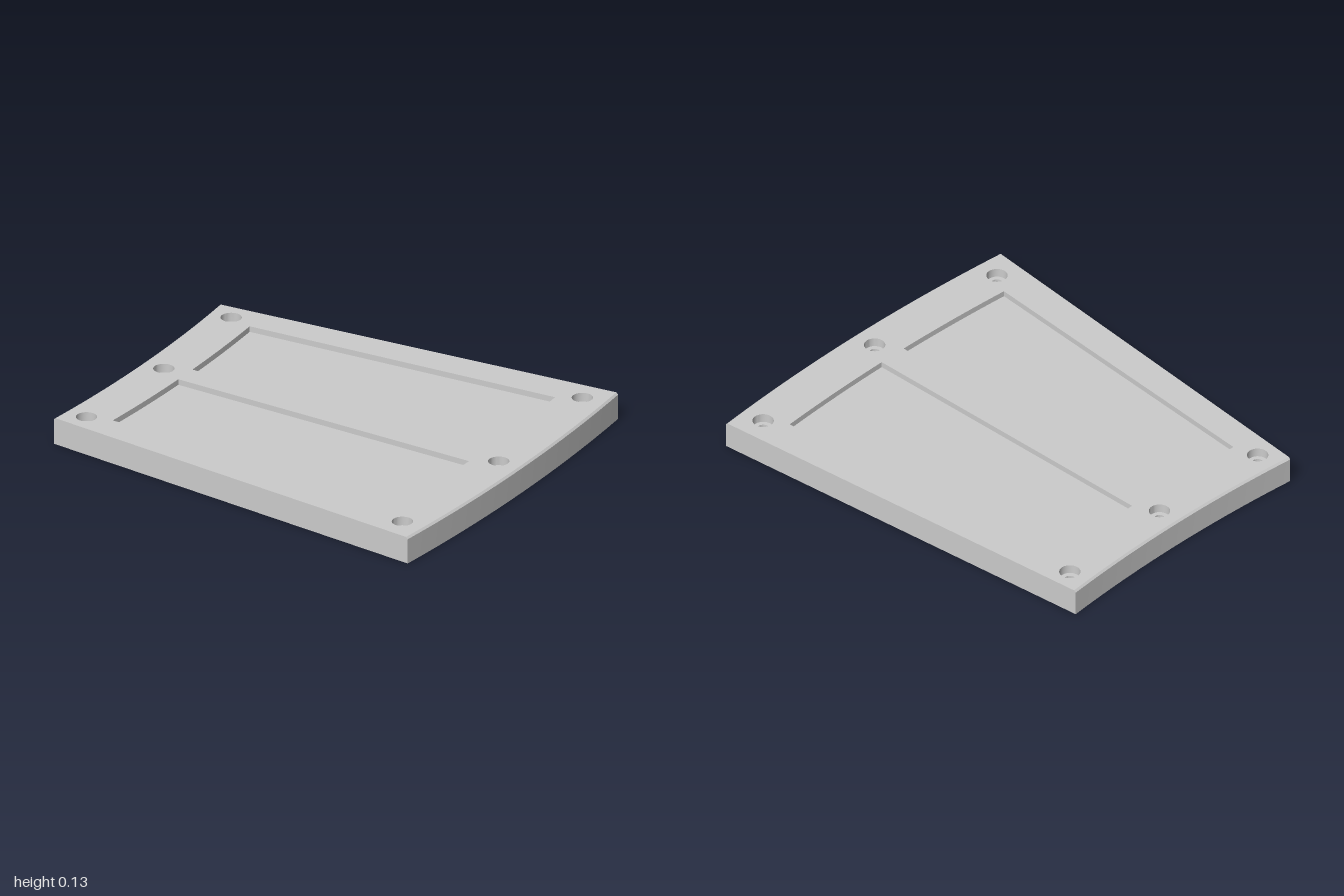
import * as THREE from 'three';
import { toCreasedNormals } from 'three/addons/utils/BufferGeometryUtils.js';

const TOP = 0.127, EDGE = 0.009, POCKET_Y = 0.1, STEP_Y = 0.085, HOLE_Y = 0.035;
const CENTRE_X = -8.13; // common centre of all the curved edges

// Counter-clockwise ring-sector outline in plan (plan y = -z)
function sector(r0, r1, a0, a1, n = 24) {
  const pts = [];
  const add = (r, a) => pts.push(new THREE.Vector2(CENTRE_X + r * Math.cos(a), r * Math.sin(a)));
  for (let i = 0; i <= n; i++) add(r1, a0 + (a1 - a0) * i / n);
  for (let i = 0; i <= n; i++) add(r0, a1 + (a0 - a1) * i / n);
  return pts;
}

function circle(x, y, r, n = 32) {
  return Array.from({ length: n }, (_, i) => {
    const a = i / n * Math.PI * 2;
    return new THREE.Vector2(x + r * Math.cos(a), y + r * Math.sin(a));
  });
}

// Skin joining successive [loop, height] sections
function skin(sections) {
  const pos = [], index = [], n = sections[0][0].length;
  for (const [loop, h] of sections) for (const p of loop) pos.push(p.x, h, -p.y);
  for (let s = 0; s < sections.length - 1; s++) {
    for (let i = 0; i < n; i++) {
      const a = s * n + i, b = s * n + (i + 1) % n;
      index.push(a, b, b + n, a, b + n, a + n);
    }
  }
  const g = new THREE.BufferGeometry();
  g.setAttribute('position', new THREE.Float32BufferAttribute(pos, 3));
  g.setIndex(index);
  return toCreasedNormals(g, 0.5);
}

// Flat face at a height, facing up or down
function cap(loop, h, holes = [], down = false) {
  const shape = new THREE.Shape(loop);
  shape.holes = holes.map(pts => new THREE.Path(pts));
  const g = new THREE.ShapeGeometry(shape).rotateX(-Math.PI / 2).translate(0, h, 0);
  if (down) {
    g.index.array.reverse();
    g.computeVertexNormals();
  }
  return g;
}

export function createModel() {
  const model = new THREE.Group();
  model.name = 'coverPlate';
  const material = new THREE.MeshStandardMaterial({ color: 0xcccccc });
  const add = (name, geometry, parent = model) => {
    const mesh = new THREE.Mesh(geometry, material);
    mesh.name = name;
    parent.add(mesh);
  };

  // Outline, with a small chamfer along the two curved edges
  const outer = sector(7.162, 9.13, -0.0947, 0.0947);
  const rim = sector(7.162 + EDGE, 9.13 - EDGE, -0.0947, 0.0947);

  // Two recessed panels, mirrored about the middle rib
  const pockets = [sector(7.385, 8.905, 0.0078, 0.076), sector(7.385, 8.905, -0.076, -0.0078)];

  // Six stepped blind screw holes
  const holes = [[-0.857, 0], [0.885, 0]];
  for (const s of [-1, 1]) holes.push([-0.883, 0.593 * s], [0.852, 0.738 * s]);
  const bores = holes.map(([x, y]) => circle(x, y, 0.047));

  add('plateSides', skin([[outer, 0], [outer, TOP - EDGE], [rim, TOP]]));
  add('plateTop', cap(rim, TOP, [...pockets, ...bores]));
  add('plateBottom', cap(outer, 0, [], true));

  for (const loop of pockets) {
    const panel = new THREE.Group();
    panel.name = 'recessedPanel';
    add('panelWalls', skin([[loop, TOP], [loop, POCKET_Y]]), panel);
    add('panelFloor', cap(loop, POCKET_Y), panel);
    model.add(panel);
  }

  holes.forEach(([x, y], i) => {
    const hole = new THREE.Group();
    hole.name = 'screwHole';
    const inner = circle(x, y, 0.026);
    add('holeWalls', skin([[bores[i], TOP], [bores[i], STEP_Y], [inner, STEP_Y], [inner, HOLE_Y]]), hole);
    add('holeFloor', cap(inner, HOLE_Y), hole);
    model.add(hole);
  });
  return model;
}
